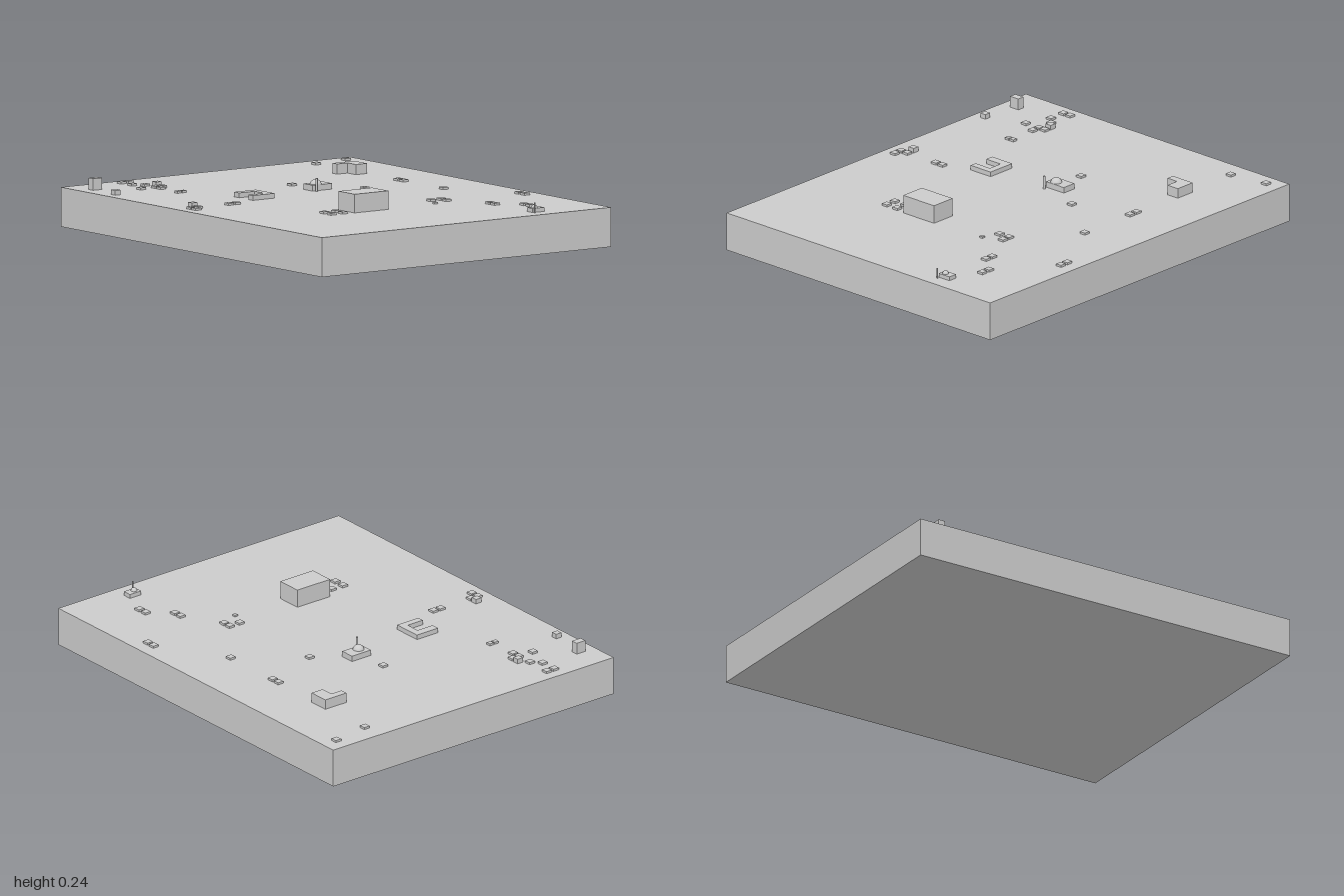
import * as THREE from 'three';

const GROUND = 0.163;

export function createModel() {
  const model = new THREE.Group();
  model.name = 'townModel';
  const material = new THREE.MeshStandardMaterial({ color: 0xcccccc });

  const add = (name, geometry, x, y, z, parent = model) => {
    const mesh = new THREE.Mesh(geometry, material);
    mesh.name = name;
    mesh.position.set(x, y, z);
    parent.add(mesh);
    return mesh;
  };
  // Box from its limits in x, y and z
  const block = (name, x0, x1, y0, y1, z0, z1, parent) =>
    add(name, new THREE.BoxGeometry(x1 - x0, y1 - y0, z1 - z0),
      (x0 + x1) / 2, (y0 + y1) / 2, (z0 + z1) / 2, parent);
  // Building with a footprint of [x, z] corners
  const footprint = (name, points, top) => {
    const shape = new THREE.Shape(points.map(([x, z]) => new THREE.Vector2(x, -z)));
    const geometry = new THREE.ExtrudeGeometry(shape, { depth: top - GROUND, bevelEnabled: false });
    geometry.rotateX(-Math.PI / 2);
    add(name, geometry, 0, GROUND, 0);
  };

  // Ground slab
  block('groundSlab', -0.62, 0.847, 0, GROUND, -1, 0.797);

  // Large hall and corner tower
  block('mainHall', -0.092, 0.079, GROUND, 0.24, 0.194, 0.306);
  block('cornerTower', -0.568, -0.523, GROUND, 0.211, -0.88, -0.849);

  // Courtyard building, open to the right, and angled building
  footprint('courtyardBuilding', [
    [-0.214, -0.36], [-0.103, -0.36], [-0.103, -0.23], [-0.214, -0.23],
    [-0.214, -0.26], [-0.135, -0.26], [-0.135, -0.324], [-0.214, -0.324],
  ], 0.183);
  footprint('angledBuilding', [
    [0.51, -0.665], [0.62, -0.665], [0.62, -0.575], [0.563, -0.575], [0.563, -0.632], [0.51, -0.632],
  ], 0.205);

  // Domed halls, each with a slender tower beside it
  const domedHall = (name, [x0, x1, z0, z1], roof, [dx, dz, r], domeTop, [tx, tz, tr], towerTop) => {
    const group = new THREE.Group();
    group.name = name;
    model.add(group);
    block('hall', x0, x1, GROUND, roof, z0, z1, group);
    add('dome', new THREE.SphereGeometry(r, 32, 20), dx, domeTop - r, dz, group);
    add('slenderTower', new THREE.CylinderGeometry(tr, tr, towerTop - GROUND, 16),
      tx, (GROUND + towerTop) / 2, tz, group);
  };
  domedHall('largeDomedHall', [0.141, 0.24, -0.364, -0.3], 0.187,
    [0.175, -0.325, 0.024], 0.207, [0.148, -0.282, 0.005], 0.218);
  domedHall('smallDomedHall', [0.499, 0.558, 0.69, 0.73], 0.18,
    [0.52, 0.712, 0.013], 0.193, [0.502, 0.741, 0.003], 0.206);

  // Small houses: [x, z] rows by size and height
  const houses = (list, size, top) => list.forEach(([x, z]) =>
    block('house', x - size / 2, x + size / 2, GROUND, top, z - size / 2, z + size / 2));
  // North-west cluster
  houses([[-0.356, -0.94], [-0.319, -0.94], [-0.356, -0.866], [-0.32, -0.828],
    [-0.393, -0.755], [-0.32, -0.755], [-0.288, -0.755], [-0.32, -0.717]], 0.028, 0.172);
  // West and centre
  houses([[-0.525, -0.185], [-0.56, -0.185], [-0.56, -0.148], [-0.367, -0.185], [-0.33, -0.185],
    [0.169, -0.48], [0.352, -0.227]], 0.028, 0.172);
  // East side
  houses([[0.607, -0.907], [0.778, -0.935], [0.606, -0.342], [0.606, -0.303],
    [0.607, -0.03], [0.778, 0.259], [0.778, 0.298]], 0.028, 0.172);
  // South side
  houses([[-0.198, 0.242], [-0.14, 0.242], [-0.198, 0.291], [-0.14, 0.291],
    [0.362, 0.217], [0.414, 0.217], [0.414, 0.253], [0.509, 0.42], [0.509, 0.457],
    [0.599, 0.536], [0.599, 0.576]], 0.028, 0.172);
  // Taller houses and tiny huts
  houses([[-0.288, -0.79], [-0.565, -0.696], [-0.525, -0.222]], 0.028, 0.183);
  houses([[-0.332, -0.585], [-0.306, -0.585]], 0.021, 0.172);
  houses([[0.33, 0.287]], 0.016, 0.17);

  return model;
}
